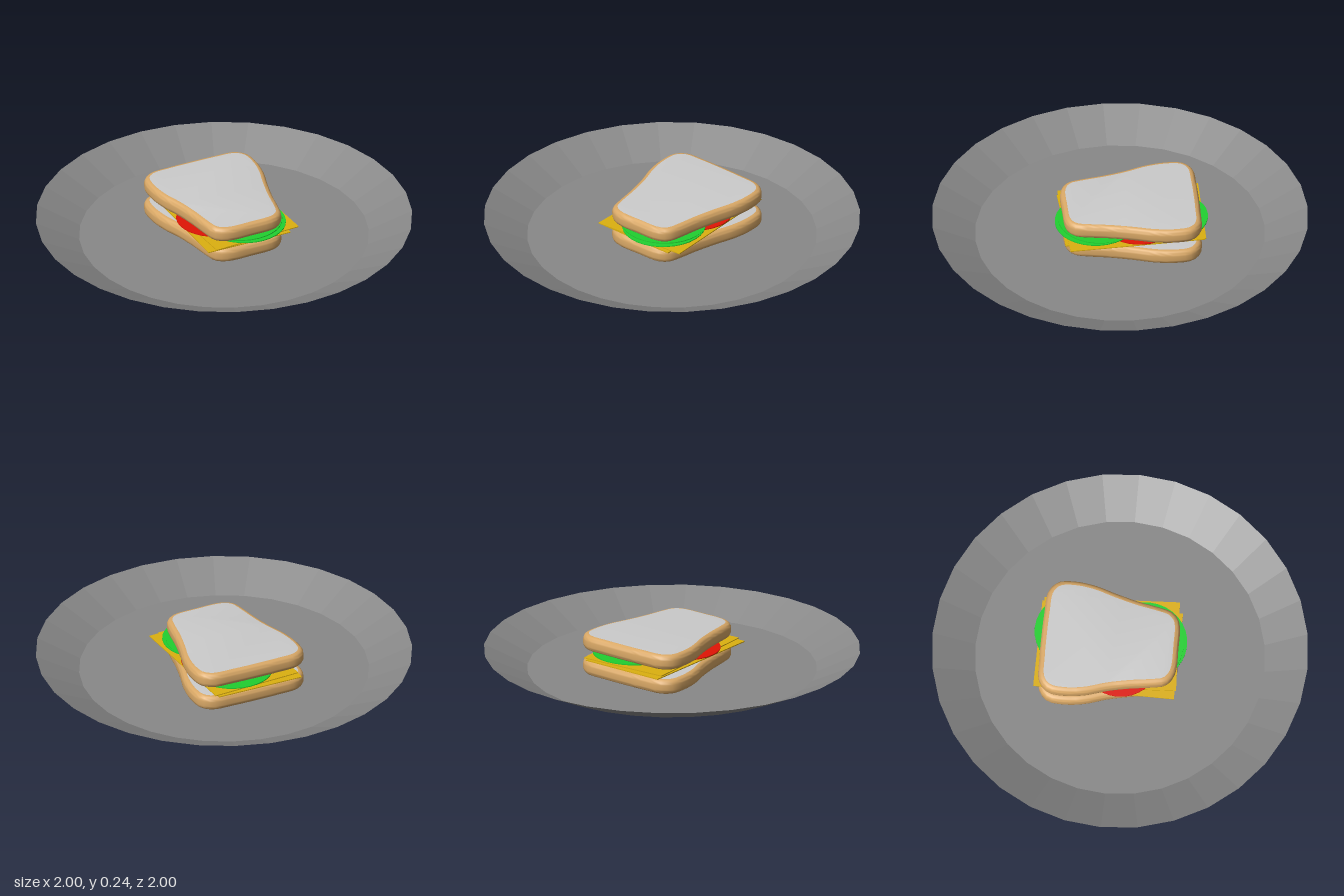
import * as THREE from 'three';
import { toCreasedNormals } from 'three/addons/utils/BufferGeometryUtils.js';

const paint = (color, extra = {}) => new THREE.MeshStandardMaterial({ color, ...extra });

function add(parent, name, geometry, material, x, y, z) {
  const mesh = new THREE.Mesh(geometry, material);
  mesh.name = name;
  mesh.position.set(x, y, z);
  parent.add(mesh);
  return mesh;
}

// Loaf-slice outline (x, z), wide at the back, with a rounded crust
function sliceGeometry(thickness) {
  const outline = [
    [-0.13, 0.305], [0.02, 0.31], [0.16, 0.3], [0.21, 0.26], [0.232, 0.18],
    [0.25, 0.08], [0.28, -0.04], [0.315, -0.16], [0.328, -0.27], [0.315, -0.36],
    [0.26, -0.408], [0.13, -0.418], [0.01, -0.42], [-0.12, -0.418], [-0.24, -0.408],
    [-0.295, -0.36], [-0.307, -0.27], [-0.293, -0.16], [-0.255, -0.04],
    [-0.228, 0.08], [-0.212, 0.18], [-0.19, 0.265],
  ];
  const curve = new THREE.CatmullRomCurve3(
    outline.map(([x, z]) => new THREE.Vector3(x, -z, 0)), true, 'centripetal');
  const shape = new THREE.Shape(
    curve.getSpacedPoints(72).slice(0, -1).map((p) => new THREE.Vector2(p.x, p.y)));
  const bevel = 0.028;
  const geometry = new THREE.ExtrudeGeometry(shape, {
    depth: thickness - 2 * bevel, bevelEnabled: true, bevelThickness: bevel,
    bevelSize: bevel, bevelOffset: -bevel, bevelSegments: 5, steps: 1,
  });
  geometry.translate(0, 0, bevel - thickness / 2);
  geometry.rotateX(-Math.PI / 2);
  return toCreasedNormals(geometry, 0.7);
}

export function createModel() {
  const model = new THREE.Group();
  model.name = 'sandwichOnPlate';

  // Thin faceted plate with a sloping rim
  const profile = [[0, 0], [0.77, 0], [1, 0.107]].map(([x, y]) => new THREE.Vector2(x, y));
  add(model, 'plate', new THREE.LatheGeometry(profile, 32),
    paint(0x888888, { flatShading: true, side: THREE.DoubleSide }), 0, 0, 0);

  // Two slices: pale crumb on the faces, tan crust round the side
  const bread = [paint(0xcccccc), paint(0xd9a866)];
  const slice = sliceGeometry(0.082);
  add(model, 'bottomBread', slice, bread, 0, 0.058, 0);
  add(model, 'topBread', slice, bread, 0, 0.188, 0).rotation.x = 0.02;

  const filling = new THREE.Group();
  filling.name = 'filling';
  model.add(filling);

  // Cheese sheets, one turned slightly
  const cheese = paint(0xdcb010);
  add(filling, 'cheeseLower', new THREE.BoxGeometry(0.485, 0.005, 0.75), cheese, -0.003, 0.115, -0.063);
  add(filling, 'cheeseUpper', new THREE.BoxGeometry(0.5, 0.005, 0.72), cheese, 0.028, 0.122, -0.055)
    .rotation.y = 0.06;

  // Round tomato and lettuce slices: x, y, z, radius, tilt
  const rounds = {
    tomato: [paint(0xe01505), [[-0.06, 0.128, 0.01, 0.205, 0], [0.08, 0.13, -0.1, 0.2, 0.01]]],
    lettuce: [paint(0x20d030), [[0.055, 0.136, 0.13, 0.222, 0.02], [0.04, 0.139, 0.11, 0.225, -0.01],
      [0.07, 0.144, -0.25, 0.212, 0.03]]],
  };
  for (const [name, [material, list]] of Object.entries(rounds)) {
    list.forEach(([x, y, z, r, tilt], i) => {
      add(filling, name + (i + 1), new THREE.CylinderGeometry(r, r, 0.005, 32), material, x, y, z)
        .rotation.x = tilt;
    });
  }
  return model;
}
